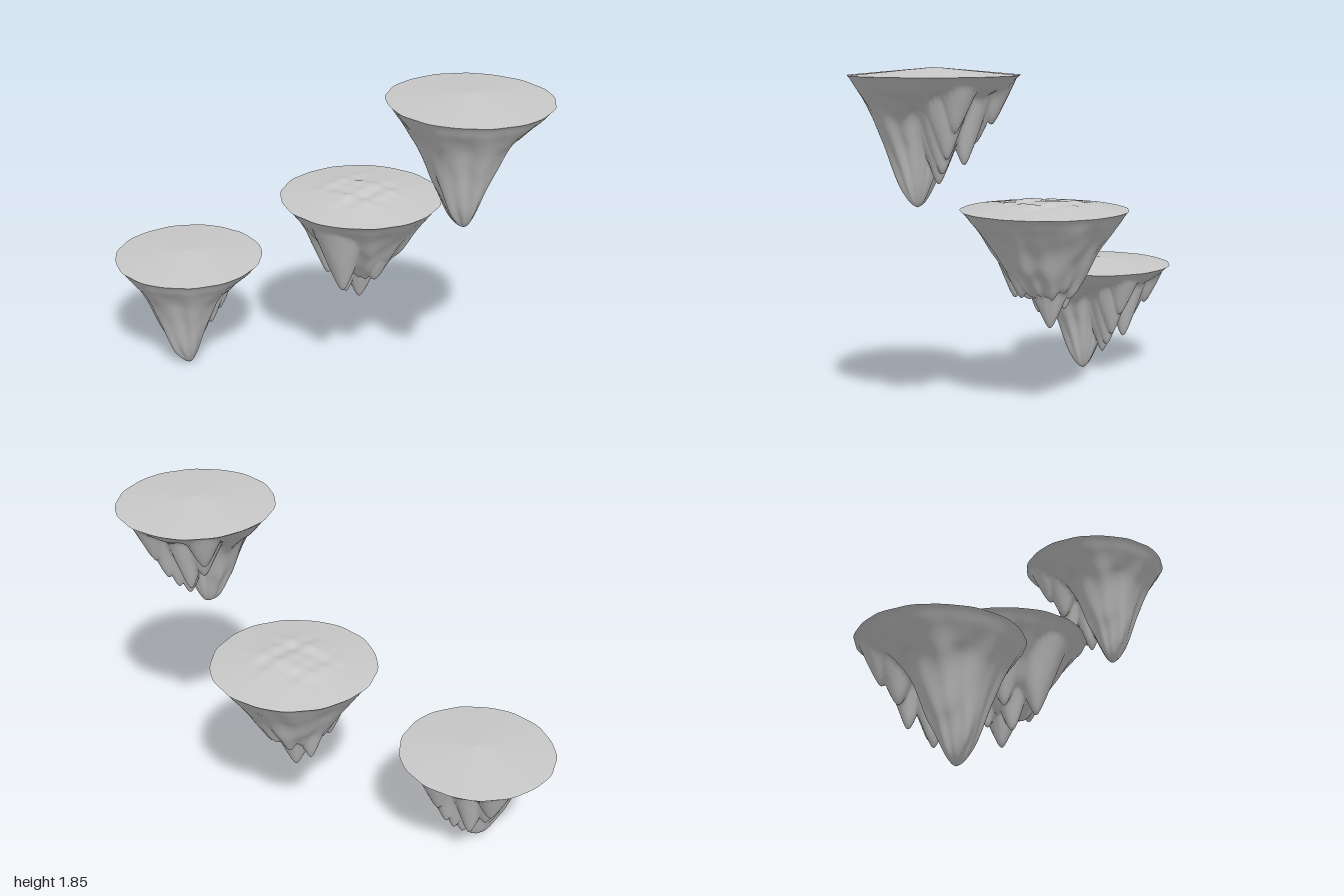
import * as THREE from 'three';

const SEGS = 120;

// Rim outline of an island: a slightly irregular circle
const rimRadius = (R, a) =>
  R * (1 + 0.004 * Math.sin(5 * a + 1) + 0.004 * Math.sin(11 * a) + 0.004 * Math.sin(17 * a + 2));

// Disc of rings between an inner point and the rim, lifted by height(x, z, t, a)
function ringSurface(R, cx, cz, rings, height, up) {
  const pos = [cx, height(cx, cz, 0, 0), cz], index = [];
  for (let i = 1; i <= rings; i++) {
    const t = i / rings;
    for (let j = 0; j < SEGS; j++) {
      const a = (j / SEGS) * Math.PI * 2, r = rimRadius(R, a);
      const x = cx + (r * Math.cos(a) - cx) * t, z = cz + (r * Math.sin(a) - cz) * t;
      pos.push(x, height(x, z, t, a), z);
    }
  }
  const tri = (a, b, c) => (up ? index.push(a, c, b) : index.push(a, b, c));
  const id = (i, j) => (i === 0 ? 0 : 1 + (i - 1) * SEGS + (j % SEGS));
  for (let i = 0; i < rings; i++) {
    for (let j = 0; j < SEGS; j++) {
      tri(id(i, j), id(i + 1, j), id(i + 1, j + 1));
      if (i > 0) tri(id(i, j), id(i + 1, j + 1), id(i, j + 1));
    }
  }
  const geo = new THREE.BufferGeometry();
  geo.setAttribute('position', new THREE.Float32BufferAttribute(pos, 3));
  geo.setIndex(index);
  geo.computeVertexNormals();
  return geo;
}

// Uneven flutes and lumps in the rock, fading out at the point and the rim
function rockNoise(x, z, t, a) {
  const flutes = 0.4 * Math.sin(7 * a + 3 * t + 0.6) + 0.35 * Math.sin(12 * a - 5 * t + 2);
  const lumps = 0.4 * Math.sin(21 * x + 9 * z + 1) * Math.sin(24 * z - 8 * x) +
    0.35 * Math.sin(41 * x - 17 * z) * Math.sin(37 * z + 15 * x + 2);
  return (flutes + lumps) * THREE.MathUtils.smoothstep(t, 0.05, 0.4) * (1 - t) * 2;
}

// Hanging rock: a skewed cone merged with smaller pointed spikes
function rockGeometry({ R, tip, profile, spikes, pinch, rough }) {
  const curve = new THREE.SplineCurve(profile.map((d, i) => new THREE.Vector2(i / 8, d)));
  const depth = (x, z, t, a) => {
    // the cone is narrower on the side where the spikes hang
    const side = THREE.MathUtils.smoothstep(Math.cos(a + 0.4), -0.5, 0.6);
    const lump = rough * rockNoise(x, z, t, a);
    let d = curve.getPoint(t + pinch * side * t * (1 - t) ** 2).y + lump;
    for (const [sx, sz, sd, slope] of spikes) {
      const q = Math.hypot(x - sx, z - sz, 0.02) - 0.02;
      d = Math.max(d, sd - slope * q + 0.5 * lump);
    }
    return t === 1 ? 0 : -Math.max(0, d);
  };
  return ringSurface(R, tip[0], tip[1], 60, depth, false);
}

// Shape with one long blunt point at the front and smaller ones behind it
const pointedRock = {
  R: 0.42, tip: [-0.05, 0.08], pinch: 1.2, rough: 0.026,
  profile: [0.65, 0.62, 0.545, 0.435, 0.305, 0.198, 0.127, 0.063, 0],
  spikes: [
    [0.065, -0.01, 0.53, 3], [0.12, -0.02, 0.47, 2.8], [0.18, -0.03, 0.39, 2.6],
    [0.09, -0.13, 0.42, 2.8], [0.03, -0.19, 0.34, 2.3],
    [0.25, -0.06, 0.26, 2.2], [0.05, -0.27, 0.24, 2.1],
  ],
};

// Shape with a blunt body and a crown of points
const crownRock = {
  R: 0.443, tip: [0.01, -0.03], pinch: 0.1, rough: 0.026,
  profile: [0.46, 0.46, 0.445, 0.4, 0.322, 0.228, 0.142, 0.068, 0],
  spikes: [
    [0.01, -0.03, 0.635, 2.4], [-0.04, -0.12, 0.54, 2.7], [-0.09, 0, 0.57, 2.8],
    [-0.16, 0.12, 0.49, 2.5], [0.03, 0.13, 0.475, 2.5], [0.11, 0.01, 0.45, 2.4],
    [0.15, -0.1, 0.38, 2.3], [-0.17, -0.06, 0.46, 2.5], [0.22, 0.02, 0.29, 2],
  ],
};

// Ground: a plain low cone, or a flattened one with uneven mounds
const plainTop = (x, z, t) => 0.038 * (1 - t);
function moundTop(x, z, t) {
  const bumps = Math.sin(19 * x + 8 * z + 1) * Math.cos(23 * z - 5 * x + 0.9) +
    0.5 * Math.sin(43 * z - 14 * x) * Math.cos(37 * x + 11 * z);
  return Math.min(0.056 * (1 - t), 0.04) + 0.009 * bumps * THREE.MathUtils.smoothstep(1 - t, 0.3, 0.8);
}

export function createModel() {
  const stone = new THREE.MeshStandardMaterial({ color: 0xc8c8c8 });
  stone.name = 'stone grey';
  const model = new THREE.Group();
  model.name = 'floatingIslands';

  const addIsland = (name, shape, top, x, y, z) => {
    const island = new THREE.Group();
    island.name = name;
    const rock = new THREE.Mesh(rockGeometry(shape), stone);
    rock.name = 'hangingRock';
    const ground = new THREE.Mesh(ringSurface(shape.R, 0, 0, 32, top, true), stone);
    ground.name = 'ground';
    island.add(rock, ground);
    island.position.set(x, y, z);
    model.add(island);
  };

  addIsland('lowIsland', pointedRock, plainTop, -0.575, 0.65, -0.58);
  addIsland('middleIsland', crownRock, moundTop, 0.265, 1.1, -0.045);
  addIsland('highIsland', pointedRock, plainTop, 0.57, 1.815, 0.575);
  return model;
}
